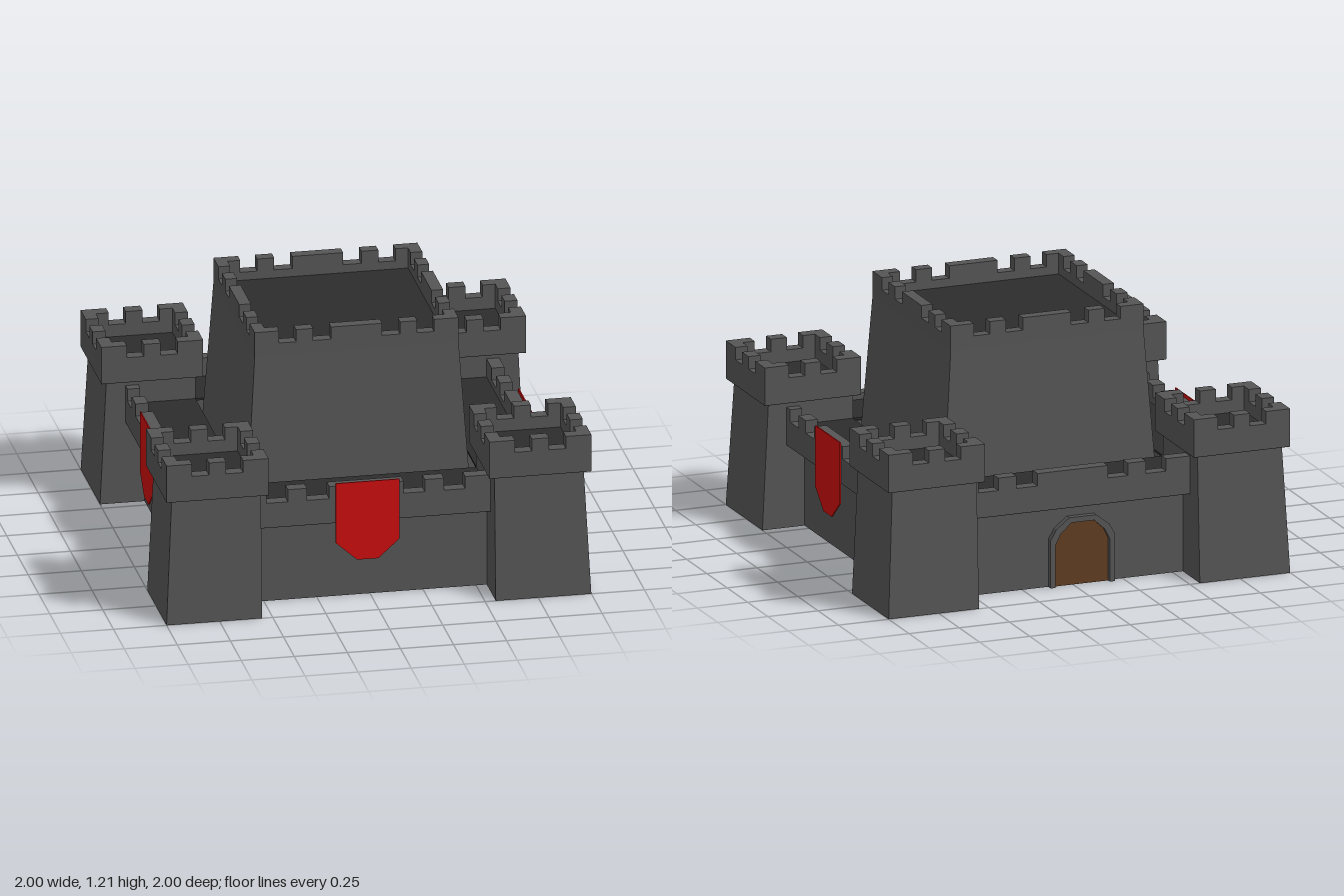
import * as THREE from 'three';

const stone = new THREE.MeshStandardMaterial({ name: 'stone', color: 0x555555, side: THREE.DoubleSide });
const darkStone = new THREE.MeshStandardMaterial({ name: 'dark stone', color: 0x2d2d2d });
const red = new THREE.MeshStandardMaterial({ name: 'banner red', color: 0xcc0d0d, side: THREE.DoubleSide });
const wood = new THREE.MeshStandardMaterial({ name: 'door wood', color: 0x5f3c20 });

function add(parent, name, geometry, material, x = 0, y = 0, z = 0) {
  const mesh = new THREE.Mesh(geometry, material);
  mesh.name = name;
  mesh.position.set(x, y, z);
  parent.add(mesh);
  return mesh;
}

function plate(points, depth, holes = []) {
  const shape = new THREE.Shape(points.map(([x, y]) => new THREE.Vector2(x, y)));
  for (const h of holes) shape.holes.push(new THREE.Path(h.map(([x, y]) => new THREE.Vector2(x, y))));
  return new THREE.ExtrudeGeometry(shape, { depth, bevelEnabled: false });
}

// Upright wall strip whose top edge is cut by rectangular notches
function crenellated(half, bottom, notchY, top, notches, depth) {
  const points = [[half, bottom], [half, top]];
  for (const [a, b] of [...notches].reverse()) points.push([b, top], [b, notchY], [a, notchY], [a, top]);
  points.push([-half, top], [-half, bottom]);
  return plate(points, depth);
}

// Square battlement made of four crenellated strips
function battlement(half, ...profile) {
  const group = new THREE.Group();
  group.name = 'battlement';
  const depth = profile[profile.length - 1];
  const geometry = crenellated(half, ...profile);
  geometry.translate(0, 0, half - depth);
  for (let i = 0; i < 4; i++) add(group, 'battlementSide', geometry, stone).rotation.y = i * Math.PI / 2;
  return group;
}

// Open four-sided shell between two rings of [x, z] corners
function taperedShell(low, high, height) {
  const pos = [];
  for (let i = 0; i < 4; i++) {
    const j = (i + 1) % 4;
    const a = [low[i][0], 0, low[i][1]], b = [low[j][0], 0, low[j][1]];
    const c = [high[j][0], height, high[j][1]], d = [high[i][0], height, high[i][1]];
    pos.push(...a, ...b, ...c, ...a, ...c, ...d);
  }
  const g = new THREE.BufferGeometry();
  g.setAttribute('position', new THREE.Float32BufferAttribute(pos, 3));
  g.computeVertexNormals();
  return g;
}

const square = (min, max) => [[min, max], [max, max], [max, min], [min, min]];

// Corner tower: tapered on its outer faces, with an overhanging crown
function makeTower() {
  const tower = new THREE.Group();
  tower.name = 'cornerTower';
  add(tower, 'towerBody', taperedShell(square(0.55, 1), square(0.55, 0.97), 0.61), stone);
  const crown = battlement(0.24, 0.61, 0.73, 0.79, [[-0.12, -0.04], [0.04, 0.12]], 0.06);
  crown.position.set(0.76, 0, 0.76);
  tower.add(crown);
  add(tower, 'crownUnderside', new THREE.BoxGeometry(0.478, 0.006, 0.478), darkStone, 0.76, 0.61, 0.76);
  add(tower, 'towerFloor', new THREE.BoxGeometry(0.38, 0.01, 0.38), darkStone, 0.76, 0.665, 0.76);
  return tower;
}

// Curtain wall with walkway and overhanging parapet
function makeWall() {
  const wall = new THREE.Group();
  wall.name = 'curtainWall';
  add(wall, 'wallFace', new THREE.PlaneGeometry(1.12, 0.4), stone, 0, 0.2, 0.79);
  const notches = [[-0.505, -0.405], [-0.315, -0.21], [0.14, 0.24], [0.33, 0.43]];
  add(wall, 'parapet', crenellated(0.55, 0.4, 0.52, 0.58, notches, 0.06), stone, 0, 0, 0.82);
  add(wall, 'parapetUnderside', new THREE.BoxGeometry(1.1, 0.006, 0.09), darkStone, 0, 0.4, 0.834);
  add(wall, 'walkway', new THREE.BoxGeometry(1.1, 0.01, 0.28), darkStone, 0, 0.485, 0.69);
  return wall;
}

function makeBanner() {
  const outline = [[-0.18, 0.595], [-0.18, 0.3], [-0.08, 0.21], [0.02, 0.21], [0.12, 0.3], [0.12, 0.595]];
  return plate(outline, 0.006);
}

// Arched gate with a stone surround
function makeDoor() {
  const door = new THREE.Group();
  door.name = 'gate';
  const arch = (w, h) => [[-w, 0], [w, 0], [w, h - 0.1], [w * 0.82, h - 0.05], [w * 0.42, h],
    [-w * 0.42, h], [-w * 0.82, h - 0.05], [-w, h - 0.1]];
  const inner = arch(0.135, 0.305);
  const outer = arch(0.16, 0.33);
  // surround runs up one side, over the arch and down the other
  const surround = [...outer.slice(1), outer[0], inner[0], ...inner.slice(1).reverse()];
  add(door, 'doorSurround', plate(surround, 0.035), stone, 0, 0, 0.785);
  add(door, 'doorPanel', plate(inner, 0.009), wood, 0, 0, 0.789);
  return door;
}

export function createModel() {
  const castle = new THREE.Group();
  castle.name = 'castle';

  // Four sides and corners
  for (let i = 0; i < 4; i++) {
    const side = new THREE.Group();
    side.name = ['frontSide', 'leftSide', 'backSide', 'rightSide'][i];
    side.rotation.y = i * Math.PI / 2;
    side.add(makeTower(), makeWall());
    if (i === 2) {
      const door = makeDoor();
      door.position.x = 0.04;
      side.add(door);
    } else {
      add(side, 'banner', makeBanner(), red, 0, 0, 0.881);
    }
    castle.add(side);
  }

  // Central keep, one foot corner slightly drawn in
  const keep = new THREE.Group();
  keep.name = 'keep';
  const foot = square(-0.55, 0.55);
  foot[2] = [0.55, -0.515];
  add(keep, 'keepWalls', taperedShell(foot, square(-0.48, 0.48), 1.09), stone);
  const notches = [[-0.365, -0.285], [-0.205, -0.12], [0.12, 0.205], [0.285, 0.365]];
  keep.add(battlement(0.48, 1.09, 1.15, 1.21, notches, 0.055));
  add(keep, 'keepRoof', new THREE.BoxGeometry(0.88, 0.01, 0.88), darkStone, 0, 1.105, 0);
  castle.add(keep);

  return castle;
}
